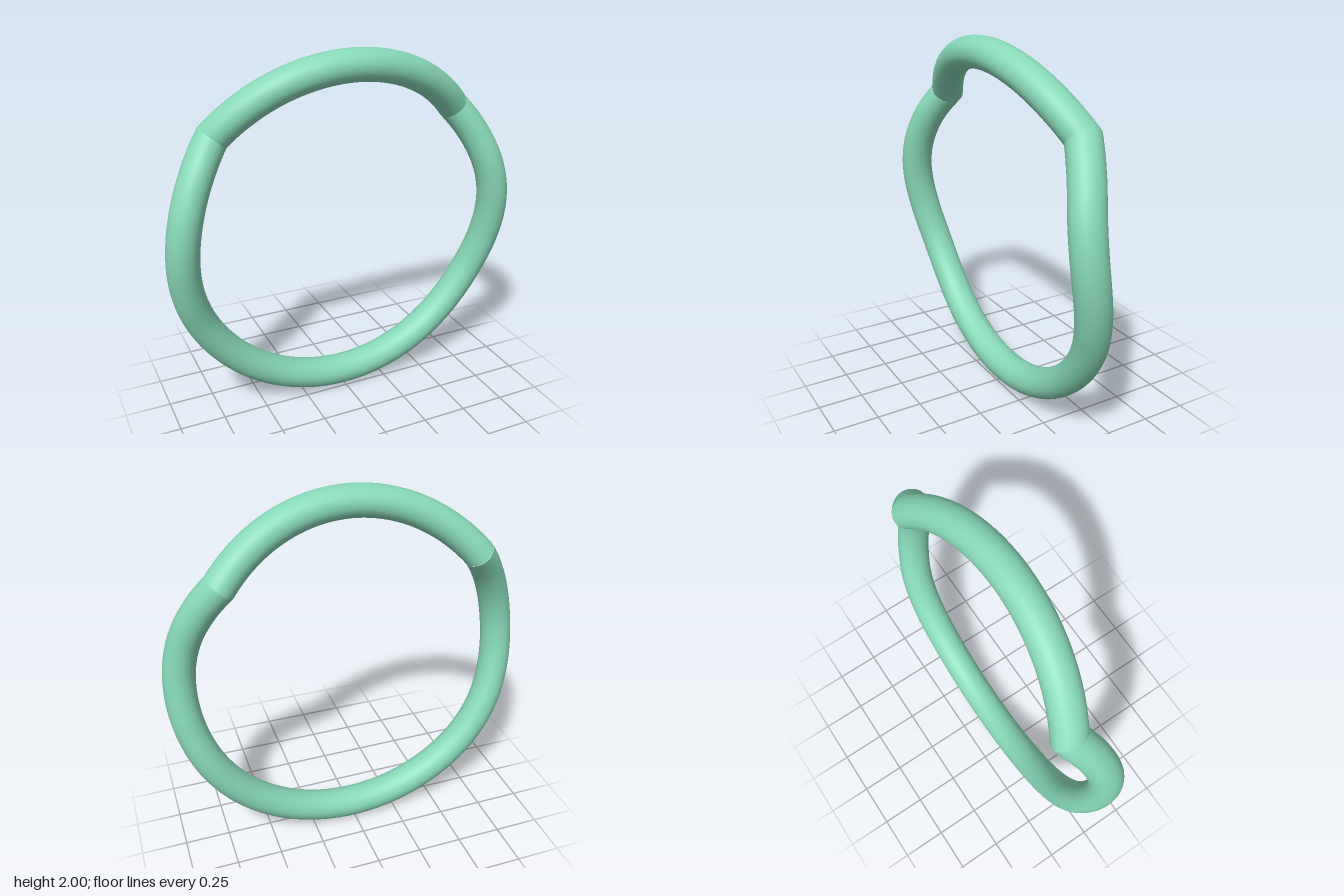
import * as THREE from 'three';

const RADIUS = 0.915;      // centre line of the ring
const HALF_WIDTH = 0.085;  // half thickness along the radius
const HALF_DEPTH = 0.092;  // half thickness along z
const SIDES = 40;
const RIGHT_KINK = [42, -0.056];
const LEFT_KINK = [139.5, -0.068];

// Sweeps an oval section round the circle; knots are [angle in degrees, z].
function sweptArc(knots, steps) {
  const curve = new THREE.SplineCurve(
    knots.map(([a, z]) => new THREE.Vector2(THREE.MathUtils.degToRad(a), z)));
  const positions = [];
  const index = [];
  for (let i = 0; i <= steps; i++) {
    const p = curve.getPoint(i / steps);
    const tangent = curve.getTangent(i / steps);
    const slope = tangent.y / (tangent.x * RADIUS);
    const depth = HALF_DEPTH * Math.hypot(1, slope);
    for (let j = 0; j < SIDES; j++) {
      const b = (j / SIDES) * Math.PI * 2;
      const r = RADIUS + HALF_WIDTH * Math.cos(b);
      positions.push(r * Math.cos(p.x), 1 + r * Math.sin(p.x), p.y + depth * Math.sin(b));
      if (i < steps) {
        const k = (j + 1) % SIDES;
        const a0 = i * SIDES + j, a1 = i * SIDES + k;
        index.push(a0, a0 + SIDES, a1, a1, a0 + SIDES, a1 + SIDES);
      }
    }
  }
  const geometry = new THREE.BufferGeometry();
  geometry.setAttribute('position', new THREE.Float32BufferAttribute(positions, 3));
  geometry.setIndex(index);
  geometry.computeVertexNormals();
  return geometry;
}

export function createModel() {
  const group = new THREE.Group();
  group.name = 'wavyRing';
  const material = new THREE.MeshStandardMaterial({ color: 0x88d8b8 });

  // Upper arch: leans forward in a straight plane between the kinks
  const archKnots = [];
  for (let i = 0; i <= 8; i++) {
    const a = THREE.MathUtils.lerp(RIGHT_KINK[0], LEFT_KINK[0], i / 8);
    const [kinkAngle, kinkZ] = a < 90 ? RIGHT_KINK : LEFT_KINK;
    const low = Math.sin(THREE.MathUtils.degToRad(kinkAngle));
    const t = (Math.sin(THREE.MathUtils.degToRad(a)) - low) / (1 - low);
    archKnots.push([a, THREE.MathUtils.lerp(kinkZ, 0.07, t)]);
  }
  const arch = new THREE.Mesh(sweptArc(archKnots, 80), material);
  arch.name = 'upperArch';

  // Lower loop: bulges forward at both sides and lies flat at the bottom
  const side = [[29.5, 0.002], [19, 0.042], [9.5, 0.053], [0, 0.04], [-12.6, 0.003],
    [-26, -0.036], [-41, -0.055], [-61, -0.059]];
  const loopKnots = [
    LEFT_KINK,
    ...side.map(([a, z]) => [180 - a, z]),
    [270, -0.059],
    ...side.map(([a, z]) => [360 + a, z]).reverse(),
    [360 + RIGHT_KINK[0], RIGHT_KINK[1]],
  ];
  const loop = new THREE.Mesh(sweptArc(loopKnots, 180), material);
  loop.name = 'lowerLoop';

  group.add(arch, loop);
  return group;
}
